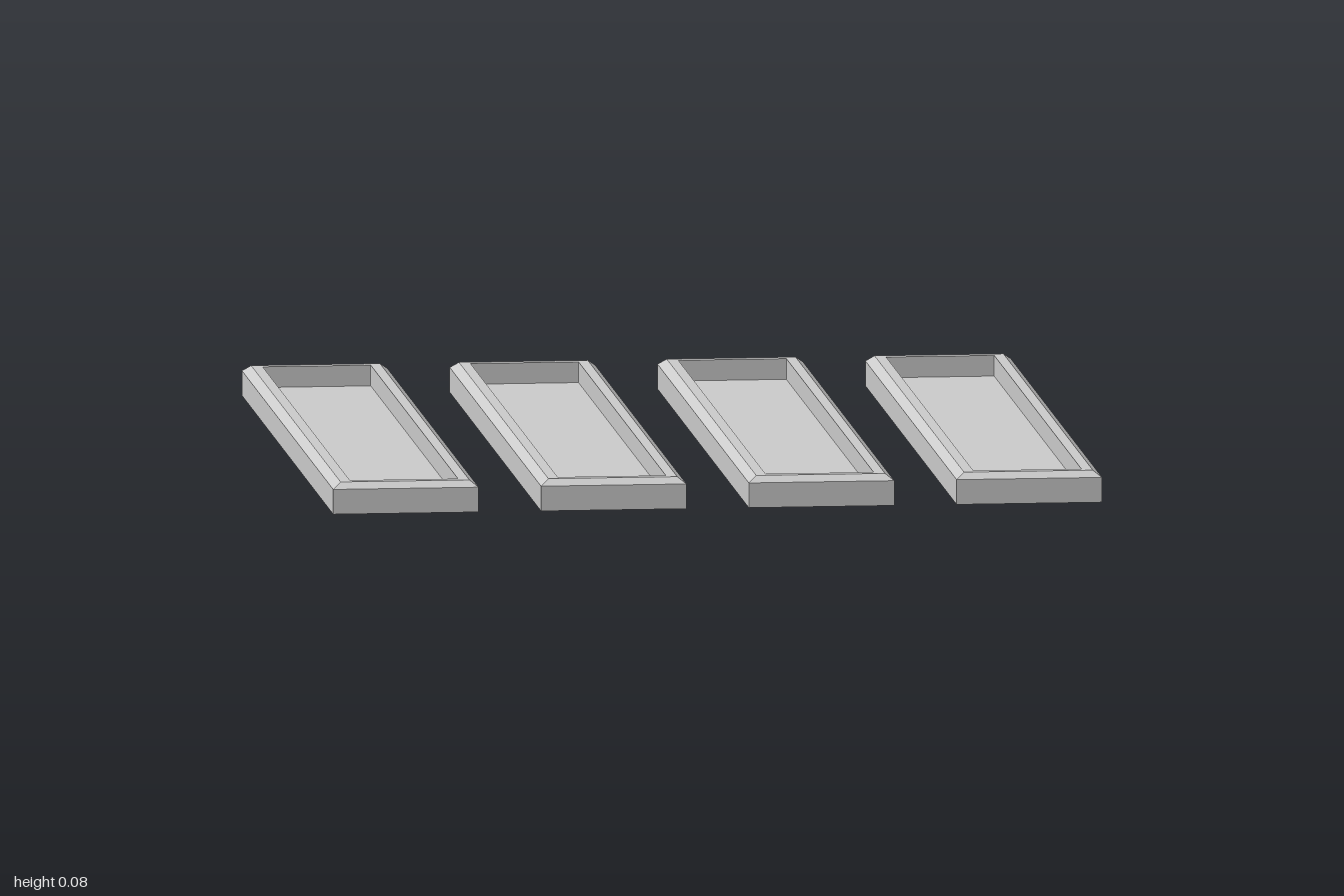
import * as THREE from 'three';

const WIDTH = 0.35, LENGTH = 2;

// Rectangular rings as [inset, height], from the underside, over the rim, to the tray floor
const RINGS = [[0, 0], [0, 0.06], [0.02, 0.075], [0.045, 0.075], [0.045, 0.025]];

function trayGeometry() {
  const loops = RINGS.map(([inset, y]) => {
    const x = WIDTH / 2 - inset, z = LENGTH / 2 - inset;
    return [[-x, y, z], [x, y, z], [x, y, -z], [-x, y, -z]];
  });
  const positions = [];
  const quad = (a, b, c, d) => positions.push(...a, ...b, ...c, ...a, ...c, ...d);

  // Sides, bevel, flat rim and inner walls
  for (let r = 0; r < loops.length - 1; r++) {
    for (let i = 0; i < 4; i++) {
      const j = (i + 1) % 4;
      quad(loops[r][i], loops[r][j], loops[r + 1][j], loops[r + 1][i]);
    }
  }
  // Recessed floor and underside
  quad(...loops[loops.length - 1]);
  quad(...[...loops[0]].reverse());

  const geometry = new THREE.BufferGeometry();
  geometry.setAttribute('position', new THREE.Float32BufferAttribute(positions, 3));
  geometry.computeVertexNormals();
  return geometry;
}

export function createModel() {
  const group = new THREE.Group();
  group.name = 'panelSet';
  const material = new THREE.MeshStandardMaterial({ color: 0xcccccc, flatShading: true });
  const geometry = trayGeometry();

  // Four identical recessed panels side by side
  for (let i = 0; i < 4; i++) {
    const panel = new THREE.Mesh(geometry, material);
    panel.name = `recessedPanel${i + 1}`;
    panel.position.x = -0.75 + i * 0.5;
    group.add(panel);
  }
  return group;
}
